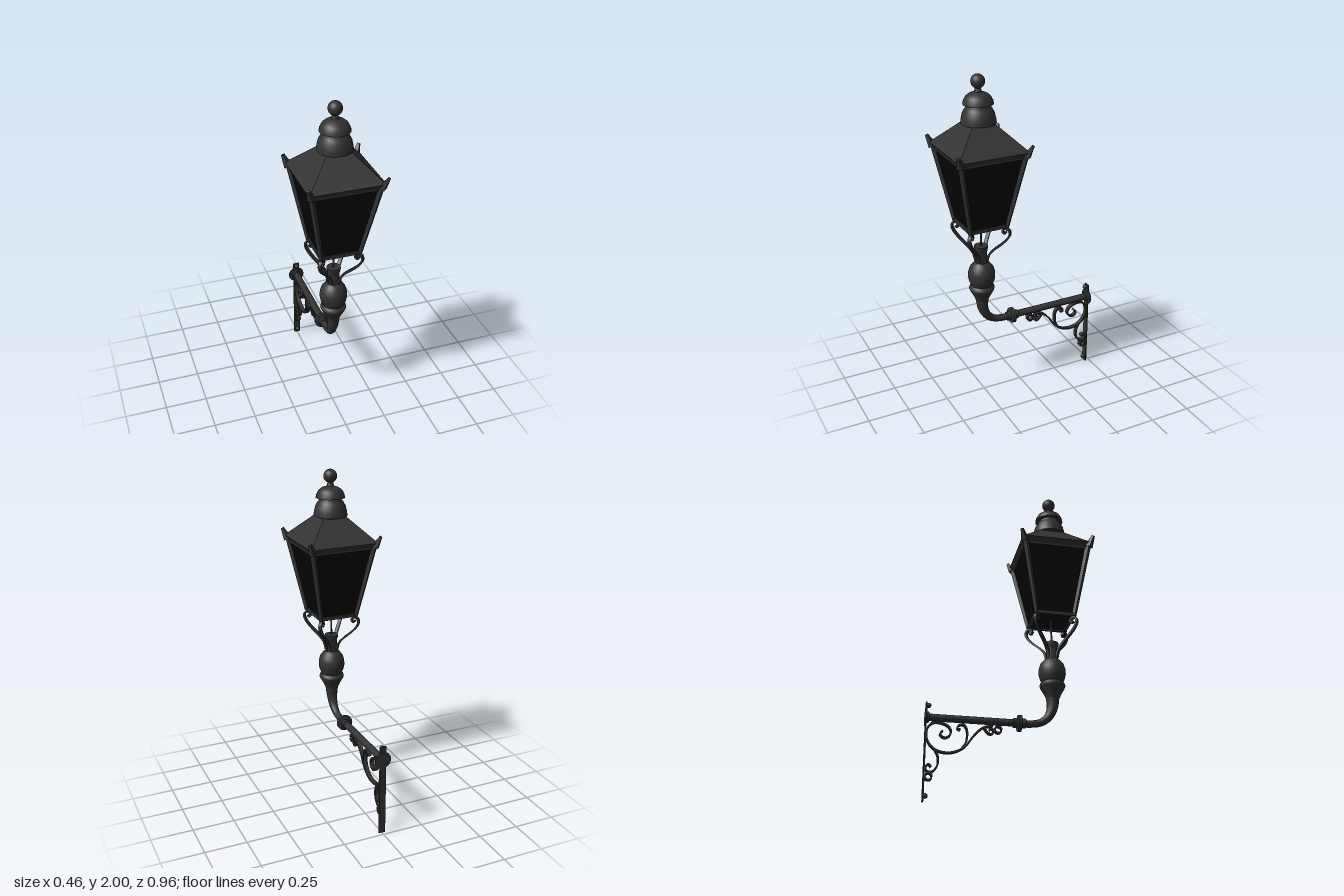
import * as THREE from 'three';
import { toCreasedNormals } from 'three/addons/utils/BufferGeometryUtils.js';

const LAMP_Z = 0.252, PIPE_Y = 0.475, WALL_Z = -0.478;
const iron = new THREE.MeshStandardMaterial({ color: 0x323232 });
iron.name = 'darkIron';
const glass = new THREE.MeshStandardMaterial({ color: 0x050505 });
glass.name = 'blackGlass';

function add(parent, name, geometry, x = 0, y = 0, z = 0, material = iron) {
  const mesh = new THREE.Mesh(geometry, material);
  mesh.name = name;
  mesh.position.set(x, y, z);
  parent.add(mesh);
  return mesh;
}

const vec2 = (pts) => pts.map(([a, b]) => new THREE.Vector2(a, b));

// Turned part; profile is [radius, y] from bottom to top
function turned(profile, segments = 24, crease = 0.7) {
  return toCreasedNormals(new THREE.LatheGeometry(vec2(profile), segments), crease);
}

// Square section; profile is [halfWidth, y] from bottom to top
function square(profile) {
  const pts = vec2(profile.map(([h, y]) => [h * Math.SQRT2, y]));
  const g = new THREE.LatheGeometry(pts, 4, Math.PI / 4).toNonIndexed();
  g.computeVertexNormals();
  return g;
}

// Tapered four-sided bar between two points
function bar(parent, name, a, b, rA, rB) {
  const from = new THREE.Vector3(...a), to = new THREE.Vector3(...b);
  const dir = to.clone().sub(from);
  const g = new THREE.CylinderGeometry(rB, rA, dir.length(), 4).toNonIndexed();
  g.computeVertexNormals();
  const mesh = add(parent, name, g);
  mesh.position.copy(from).add(to).multiplyScalar(0.5);
  mesh.quaternion.setFromUnitVectors(new THREE.Vector3(0, 1, 0), dir.normalize());
}

// Flat iron strap bent along a curve in the xy plane
function strap(pts, thickness, width, steps = 48) {
  const curve = new THREE.SplineCurve(vec2(pts));
  const outer = [], inner = [];
  for (let i = 0; i <= steps; i++) {
    const p = curve.getPointAt(i / steps), t = curve.getTangentAt(i / steps);
    const n = new THREE.Vector2(-t.y, t.x).multiplyScalar(thickness / 2);
    outer.push(p.clone().add(n));
    inner.unshift(p.clone().sub(n));
  }
  const g = new THREE.ExtrudeGeometry(new THREE.Shape([...outer, ...inner]), { depth: width, bevelEnabled: false });
  g.translate(0, 0, -width / 2);
  return toCreasedNormals(g, 0.6);
}

function buildLantern() {
  const lantern = new THREE.Group();
  lantern.name = 'lantern';

  add(lantern, 'glassPanes', square([[0, 1.135], [0.11, 1.135], [0.188, 1.565]]), 0, 0, 0, glass);
  add(lantern, 'roof', square([[0, 1.56], [0.195, 1.56], [0.214, 1.59], [0.2, 1.6], [0.085, 1.715], [0.06, 1.74]]));

  // Corner posts with flared ears, and the rails between them
  for (const sx of [-1, 1]) for (const sz of [-1, 1]) {
    bar(lantern, 'cornerPost', [sx * 0.113, 1.13, sz * 0.113], [sx * 0.197, 1.59, sz * 0.197], 0.014, 0.018);
    bar(lantern, 'cornerEar', [sx * 0.196, 1.565, sz * 0.196], [sx * 0.221, 1.63, sz * 0.221], 0.026, 0.01);
  }
  for (let i = 0; i < 4; i++) {
    const side = new THREE.Group();
    side.name = 'sideRails';
    side.rotation.y = i * Math.PI / 2;
    add(side, 'bottomRail', new THREE.BoxGeometry(0.24, 0.02, 0.018), 0, 1.136, 0.112);
    add(side, 'topRail', new THREE.BoxGeometry(0.38, 0.02, 0.016), 0, 1.56, 0.187);
    lantern.add(side);
  }

  // Two-tier vent cap and ball finial
  add(lantern, 'ventCap', turned([
    [0.06, 1.722], [0.085, 1.725], [0.1, 1.73], [0.098, 1.75], [0.09, 1.785], [0.076, 1.81], [0.062, 1.828],
    [0.062, 1.836], [0.086, 1.836], [0.083, 1.852], [0.07, 1.877], [0.05, 1.893], [0.022, 1.902], [0.016, 1.925],
  ]));
  add(lantern, 'finial', new THREE.SphereGeometry(0.04, 20, 14), 0, 1.96, 0);
  return lantern;
}

function buildPost() {
  const post = new THREE.Group();
  post.name = 'post';

  add(post, 'gasRod', new THREE.CylinderGeometry(0.006, 0.006, 0.18, 8), 0, 1.06, 0);
  add(post, 'turnedPost', turned([
    [0.03, 0.6], [0.038, 0.635], [0.05, 0.665], [0.07, 0.7], [0.076, 0.715], [0.072, 0.728], [0.062, 0.737],
    [0.073, 0.76], [0.08, 0.79], [0.079, 0.82], [0.07, 0.85], [0.052, 0.873], [0.036, 0.885],
    [0.034, 0.93], [0.036, 0.965], [0.041, 0.975], [0.041, 0.99], [0, 0.99],
  ]));

  // Scrolled arms on the diagonals, reaching the lantern corners
  const scroll = strap([
    [0.035, 0.89], [0.048, 0.935], [0.08, 0.975], [0.125, 1.015], [0.162, 1.055], [0.178, 1.09],
    [0.168, 1.115], [0.146, 1.118], [0.134, 1.1], [0.146, 1.088], [0.155, 1.097],
  ], 0.012, 0.02);
  for (let i = 0; i < 4; i++) {
    add(post, 'scrollArm', scroll).rotation.y = Math.PI / 4 + i * Math.PI / 2;
  }
  return post;
}

// Horizontal pipe sweeping up into the post, thicker toward the top
function buildPipe() {
  const path = new THREE.CatmullRomCurve3([
    [0.65, LAMP_Z], [0.58, 0.248], [0.525, 0.225], [0.488, 0.18], [PIPE_Y, 0.12], [PIPE_Y, 0], [PIPE_Y, -0.2], [PIPE_Y, WALL_Z],
  ].map(([y, z]) => new THREE.Vector3(0, y, z)), false, 'centripetal');
  const steps = 60, sides = 14;
  const g = new THREE.TubeGeometry(path, steps, 0.021, sides);
  const pos = g.attributes.position, v = new THREE.Vector3();
  for (let i = 0; i < pos.count; i++) {
    const centre = path.getPointAt(Math.floor(i / (sides + 1)) / steps);
    const swell = 1 + 0.9 * Math.max(0, (centre.y - 0.48) / 0.17);
    v.fromBufferAttribute(pos, i).sub(centre).multiplyScalar(swell).add(centre);
    pos.setXYZ(i, v.x, v.y, v.z);
  }
  g.computeVertexNormals();
  return g;
}

function buildBracket() {
  const bracket = new THREE.Group();
  bracket.name = 'wallBracket';
  add(bracket, 'bentPipe', buildPipe());

  // Collar on the pipe
  add(bracket, 'pipeCollar', turned([
    [0.02, -0.04], [0.028, -0.035], [0.028, -0.015], [0.048, -0.01], [0.048, 0.01], [0.028, 0.015], [0.028, 0.035], [0.02, 0.04],
  ], 16), 0, PIPE_Y, 0.055).rotation.x = Math.PI / 2;

  // Wall plate, round flange and bolts
  add(bracket, 'wallPlate', new THREE.BoxGeometry(0.04, 0.56, 0.008), 0, 0.28, WALL_Z + 0.003);
  add(bracket, 'wallFlange', turned([
    [0, -0.004], [0.05, -0.004], [0.05, 0.004], [0.032, 0.007], [0.03, 0.018], [0.02, 0.02],
  ], 16), 0, PIPE_Y, WALL_Z + 0.002).rotation.x = Math.PI / 2;
  for (const y of [0.03, 0.545]) {
    add(bracket, 'wallBolt', new THREE.SphereGeometry(0.015, 10, 8), 0, y, WALL_Z + 0.016);
  }

  // Scrollwork, drawn as [z, y]
  const scrolls = {
    mainScroll: [
      [-0.1, 0.445], [-0.15, 0.435], [-0.2, 0.39], [-0.26, 0.31], [-0.34, 0.276], [-0.42, 0.29], [-0.465, 0.345],
      [-0.464, 0.41], [-0.43, 0.445], [-0.37, 0.44], [-0.336, 0.41], [-0.34, 0.375], [-0.37, 0.36], [-0.395, 0.38], [-0.38, 0.4],
    ],
    upperCurl: [[-0.27, 0.305], [-0.246, 0.35], [-0.244, 0.41], [-0.262, 0.44], [-0.29, 0.438], [-0.297, 0.418], [-0.28, 0.412]],
    lowerCurl: [[-0.42, 0.29], [-0.402, 0.25], [-0.402, 0.205], [-0.425, 0.168], [-0.455, 0.163], [-0.468, 0.185], [-0.452, 0.205], [-0.437, 0.19]],
    frontCurl: [[-0.15, 0.437], [-0.132, 0.41], [-0.11, 0.397], [-0.094, 0.412], [-0.104, 0.43], [-0.118, 0.422]],
  };
  for (const [name, pts] of Object.entries(scrolls)) {
    add(bracket, name, strap(pts, 0.01, 0.026, 64)).rotation.y = -Math.PI / 2;
  }
  for (const [z, y] of [[-0.068, 0.427], [-0.45, 0.136]]) {
    const loop = [];
    for (let i = 0; i <= 12; i++) {
      const a = i / 12 * Math.PI * 1.9;
      loop.push([z + 0.019 * Math.cos(a), y + 0.019 * Math.sin(a)]);
    }
    add(bracket, 'endLoop', strap(loop, 0.01, 0.026, 24)).rotation.y = -Math.PI / 2;
  }
  return bracket;
}

export function createModel() {
  const model = new THREE.Group();
  model.name = 'wallLantern';
  const lantern = buildLantern(), post = buildPost();
  lantern.position.z = post.position.z = LAMP_Z;
  model.add(lantern, post, buildBracket());
  return model;
}
